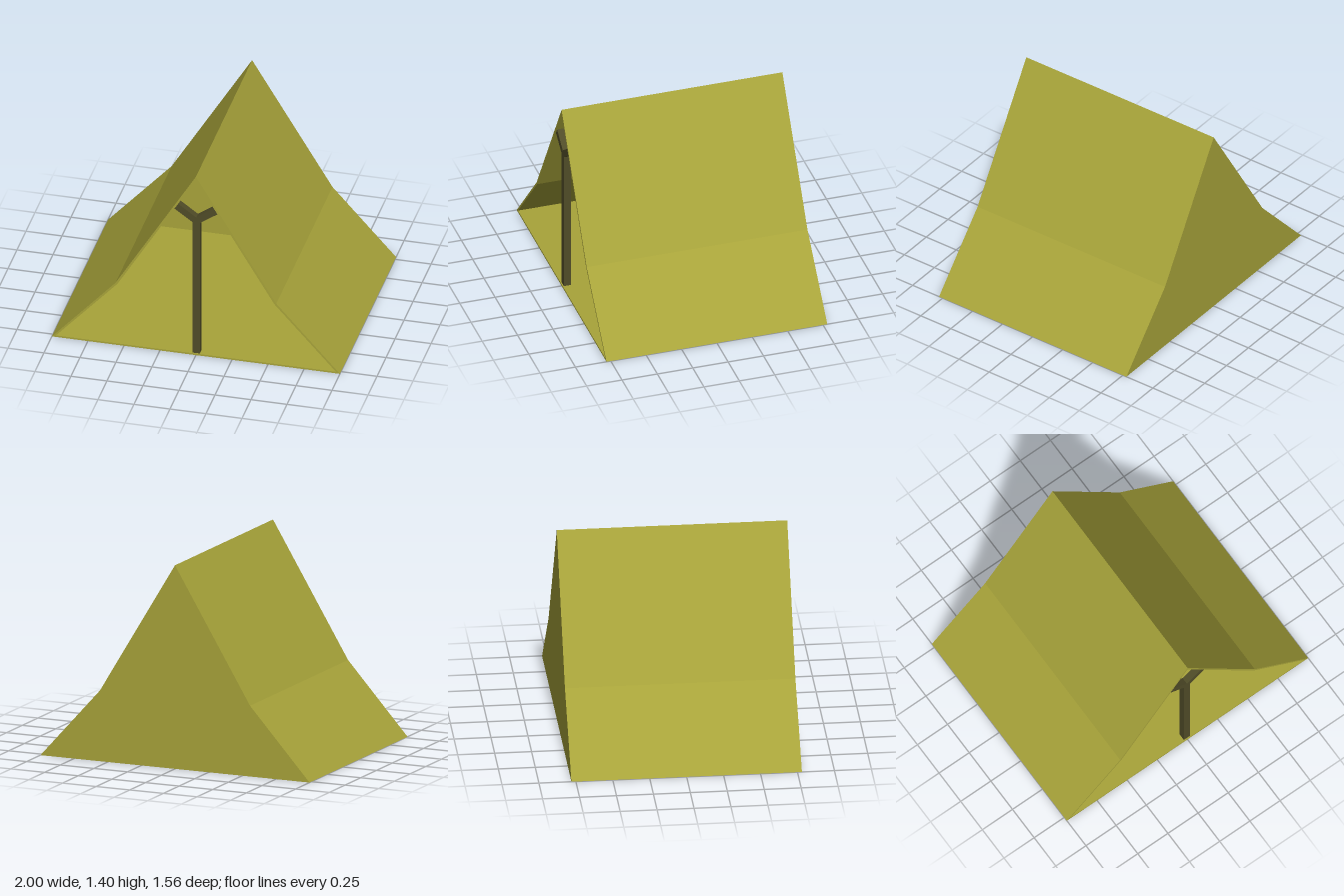
import * as THREE from 'three';

const canvasMat = new THREE.MeshStandardMaterial({ color: 0xa8a43a });
const poleMat = new THREE.MeshStandardMaterial({ color: 0x504c28 });

const HALF = 0.78; // half the tent length
const WALL = 0.015; // cloth thickness

// Closed outline from its right half (listed upward), mirrored to the left
function mirrored(half) {
  const left = half.filter(([x]) => x > 0).reverse().map(([x, y]) => [-x, y]);
  return [...half, ...left].map(([x, y]) => new THREE.Vector2(x, y));
}

function extrude(name, shape, z, depth, material) {
  const geometry = new THREE.ExtrudeGeometry(shape, { depth, bevelEnabled: false });
  geometry.translate(0, 0, z);
  const mesh = new THREE.Mesh(geometry, material);
  mesh.name = name;
  return mesh;
}

export function createModel() {
  const group = new THREE.Group();
  group.name = 'tent';

  const outer = mirrored([[1, 0], [0.558, 0.488], [0, 1.405]]);
  const inner = mirrored([[0.972, 0.012], [0.544, 0.482], [0, 1.378]]);

  // Roof, flared sides and floor as one hollow sleeve
  const sleeve = new THREE.Shape(outer);
  sleeve.holes.push(new THREE.Path(inner));
  group.add(extrude('tentShell', sleeve, -HALF + WALL, 2 * HALF - WALL, canvasMat));

  // Closed rear end
  group.add(extrude('backWall', new THREE.Shape(outer), -HALF, WALL, canvasMat));

  // Forked pole in the open front
  const fork = new THREE.Shape(mirrored([
    [0.025, 0.012], [0.025, 1.04], [0.153, 1.13], [0.128, 1.172], [0, 1.08],
  ]));
  group.add(extrude('frontPole', fork, 0.722, 0.05, poleMat));

  return group;
}
